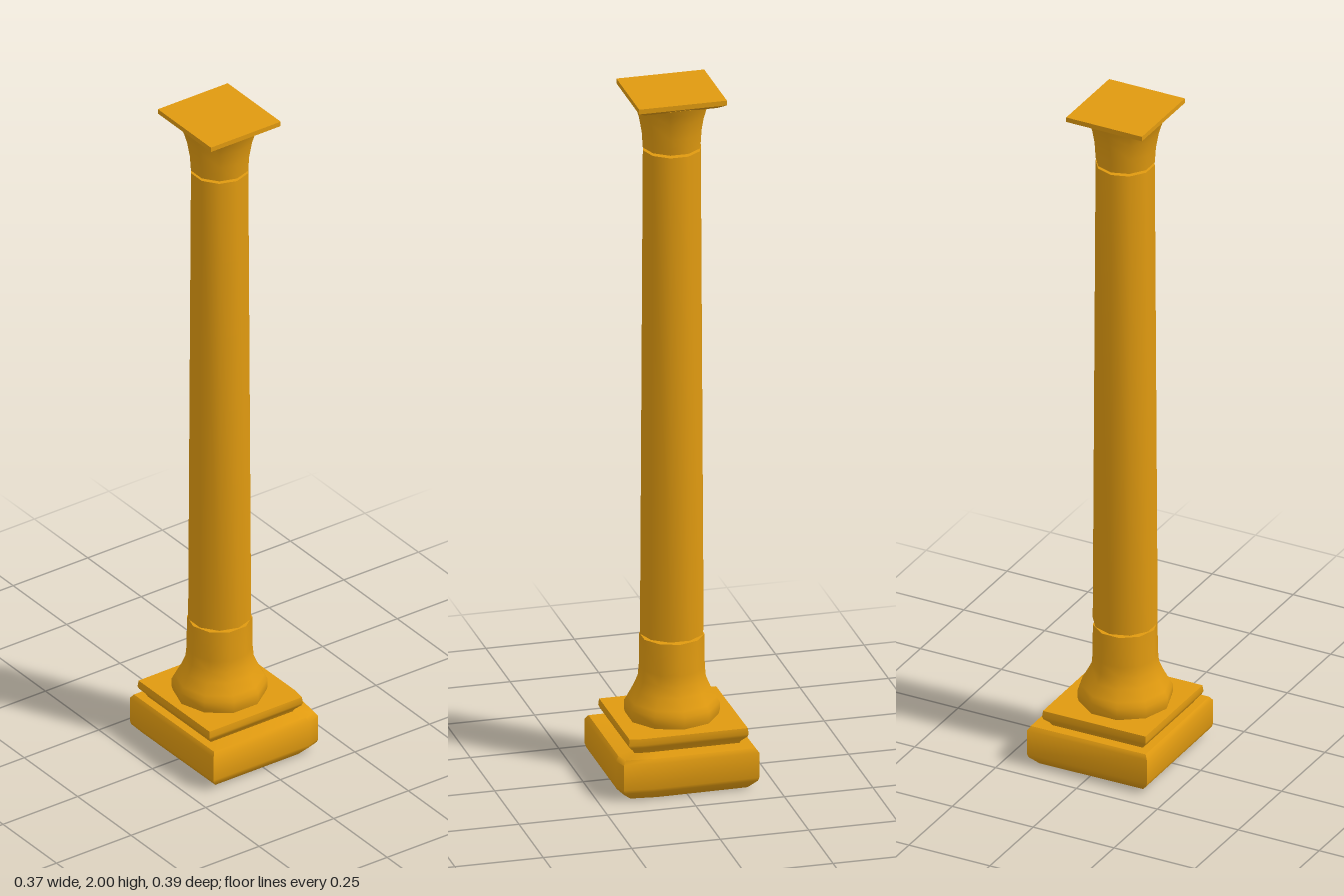
import * as THREE from 'three';
import { toCreasedNormals } from 'three/addons/utils/BufferGeometryUtils.js';

const AXIS_X = -0.02, AXIS_Z = -0.006, SIDES = 10, CREASE = 0.9;

// Round part from a [radius, y] profile, capped at both ends
function turned(profile, phiStart) {
  const first = profile[0], last = profile[profile.length - 1];
  const points = [[0, first[1]], ...profile, [0, last[1]]].map(([r, y]) => new THREE.Vector2(r, y));
  const geometry = new THREE.LatheGeometry(points, SIDES, phiStart);
  geometry.translate(AXIS_X, 0, AXIS_Z);
  return toCreasedNormals(geometry, CREASE);
}

// Slab lofted from an [x, z] outline (counter-clockwise from above) through [y, inset] layers
function slab(outline, layers) {
  const n = outline.length, positions = [], index = [];
  const xs = outline.map((p) => p[0]), zs = outline.map((p) => p[1]);
  const cx = (Math.min(...xs) + Math.max(...xs)) / 2, cz = (Math.min(...zs) + Math.max(...zs)) / 2;
  const half = (Math.max(...xs) - Math.min(...xs)) / 2;
  for (const [y, inset] of layers) {
    const s = 1 - inset / half;
    for (const [x, z] of outline) positions.push(cx + (x - cx) * s, y, cz + (z - cz) * s);
  }
  const top = (layers.length - 1) * n, bottomCentre = layers.length * n, topCentre = bottomCentre + 1;
  positions.push(cx, layers[0][0], cz, cx, layers[layers.length - 1][0], cz);
  for (let i = 0; i < n; i++) {
    const j = (i + 1) % n;
    for (let k = 0; k < top; k += n) index.push(k + i, k + j, k + n + j, k + i, k + n + j, k + n + i);
    index.push(bottomCentre, j, i, topCentre, top + i, top + j);
  }
  const geometry = new THREE.BufferGeometry();
  geometry.setAttribute('position', new THREE.Float32BufferAttribute(positions, 3));
  geometry.setIndex(index);
  return toCreasedNormals(geometry, CREASE);
}

export function createModel() {
  const column = new THREE.Group();
  column.name = 'column';
  const stone = new THREE.MeshStandardMaterial({ color: 0xe09a10 });
  const add = (name, geometry) => {
    const mesh = new THREE.Mesh(geometry, stone);
    mesh.name = name;
    column.add(mesh);
  };

  // Worn plinth with one blunted corner
  add('plinth', slab(
    [[-0.184, 0.195], [0.137, 0.195], [0.175, 0.183], [0.185, 0.1], [0.181, -0.198], [-0.187, -0.193]],
    [[0, 0.025], [0.025, 0.003], [0.035, 0], [0.108, 0], [0.12, 0.008]]));

  // Upper slab, undercut below
  add('upperSlab', slab(
    [[-0.173, 0.16], [0.141, 0.159], [0.147, 0.12], [0.145, -0.178], [-0.174, -0.175]],
    [[0.115, 0.022], [0.128, 0.016], [0.142, 0.003], [0.15, 0], [0.168, 0.002]]));

  // Bell-shaped foot of the column
  add('base', turned([[0.127, 0.165], [0.131, 0.18], [0.131, 0.203], [0.122, 0.218],
    [0.105, 0.25], [0.093, 0.278], [0.09, 0.31], [0.089, 0.402]], Math.PI / 2));

  // Slightly tapered shaft
  add('shaft', turned([[0.09, 0.41], [0.082, 1.831]], 0));

  // Flared capital
  add('capital', turned([[0.082, 1.839], [0.085, 1.885], [0.093, 1.93], [0.102, 1.96], [0.11, 1.978]], 0));

  // Thin square top, chamfered underneath
  add('abacus', slab(
    [[-0.138, 0.118], [0.096, 0.118], [0.096, -0.13], [-0.138, -0.13]],
    [[1.973, 0.02], [1.986, 0], [2, 0]]));

  return column;
}
